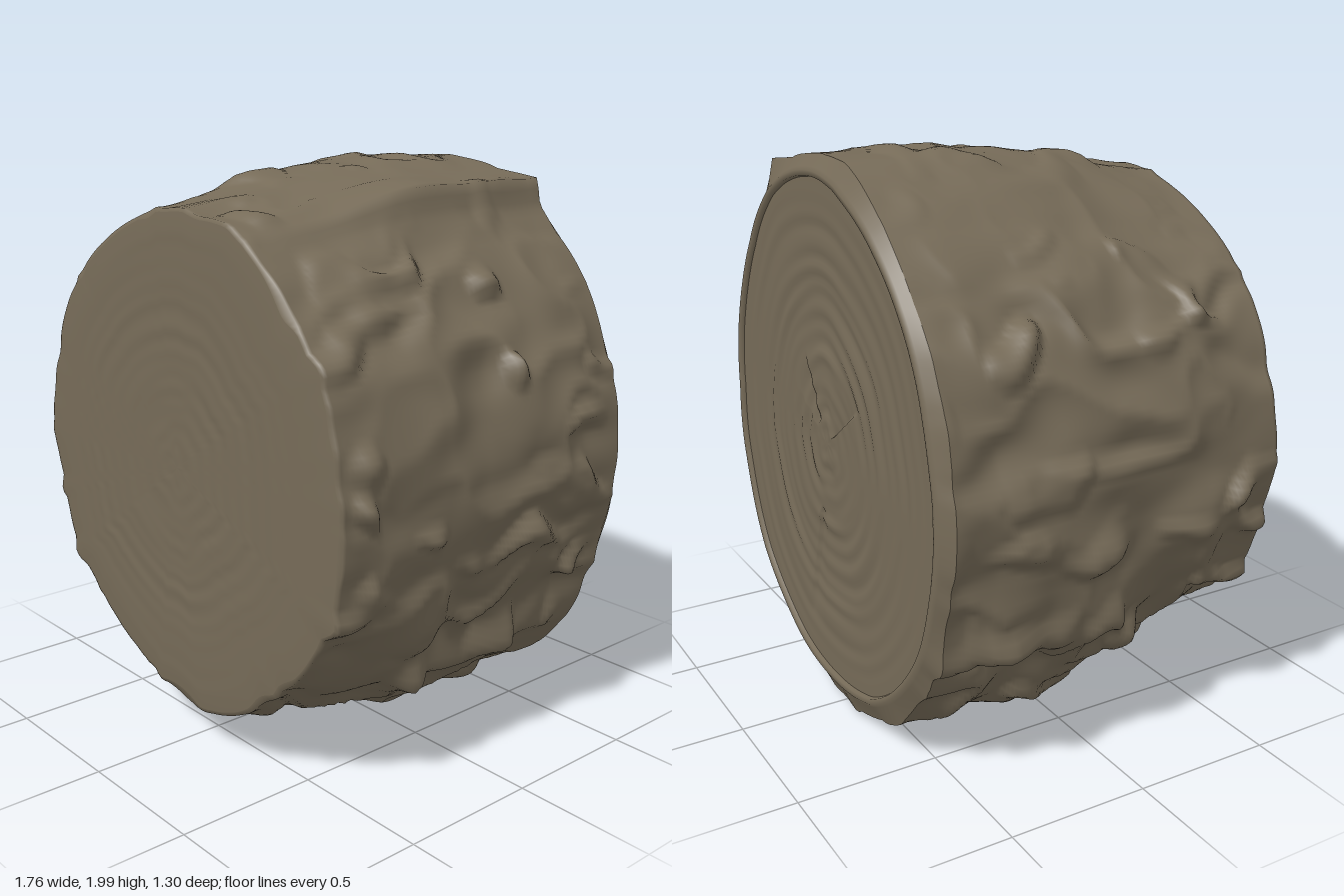
import * as THREE from 'three';

const SEG = 240, ZF = 0.64, ZB = -0.61;

// outlines as [angle in degrees, radius] around the axis at y = 1
const FRONT = [[0, .81], [22, .83], [45, .83], [58, .84], [70, .87], [80, .85], [90, .855], [105, .83], [120, .82], [135, .82],
  [157, .83], [180, .83], [195, .84], [210, .84], [225, .82], [240, .82], [252, .82], [270, .84], [290, .83], [315, .82],
  [338, .83], [360, .81]];
const BACK = [[0, .85], [22, .85], [45, .89], [54, .905], [61, .94], [64.5, 1.01], [75, .97], [90, .98], [100, .985],
  [110, .95], [120, .91], [135, .87], [157, .85], [180, .855], [200, .86], [212, .90], [225, .92], [243, .965],
  [258, .975], [270, .975], [290, .975], [303, .97], [315, .94], [325, .91], [340, .86], [360, .85]];
const LIP = [[0, .80], [22, .82], [45, .85], [64, .91], [80, .92], [100, .92], [120, .87], [135, .84], [157, .81],
  [180, .80], [200, .82], [225, .86], [250, .90], [270, .90], [290, .90], [315, .88], [338, .83], [360, .80]];

function radiusAt(table, a) {
  const deg = a * 180 / Math.PI;
  let i = 1;
  while (table[i][0] < deg) i++;
  const [a0, r0] = table[i - 1], [a1, r1] = table[i];
  return r0 + (r1 - r0) * (deg - a0) / (a1 - a0);
}

// seeded smooth 3D value noise in -1..1
function hash(x, y, z) {
  let h = Math.imul(x, 374761393) ^ Math.imul(y, 668265263) ^ Math.imul(z, 1274126177);
  h = Math.imul(h ^ (h >>> 13), 1103515245);
  return ((h ^ (h >>> 16)) >>> 0) / 2147483648 - 1;
}
function noise(x, y, z) {
  const ix = Math.floor(x), iy = Math.floor(y), iz = Math.floor(z);
  const s = t => t * t * (3 - 2 * t), u = s(x - ix), v = s(y - iy), w = s(z - iz);
  let sum = 0;
  for (let k = 0; k < 8; k++) {
    const a = k & 1, b = (k >> 1) & 1, c = k >> 2;
    sum += hash(ix + a, iy + b, iz + c) * (a ? u : 1 - u) * (b ? v : 1 - v) * (c ? w : 1 - w);
  }
  return sum;
}

// bark radius: flares from the sawn front, with lumps, creases and scattered knobs
function barkRadius(a, z0) {
  const x = Math.cos(a), y = Math.sin(a);
  const t = THREE.MathUtils.smoothstep(-z0, -ZF - 0.08, 0.16);
  const base = THREE.MathUtils.lerp(radiusAt(FRONT, a), radiusAt(BACK, a), t);
  // warp the noise so the bark looks torn rather than regular
  const wx = x + 0.09 * noise(x * 5 + 31, y * 5, z0 * 5);
  const wy = y + 0.09 * noise(x * 5, y * 5 + 57, z0 * 5);
  const z = z0 + 0.12 * noise(x * 4, y * 4, z0 * 4 + 73);
  const edge = Math.min(1, 0.6 + (ZF - z0) * 3, 0.35 + (z0 - ZB) * 4);
  const rough = 1 + 0.25 * THREE.MathUtils.smoothstep(-y, 0.2, 0.5) - 0.55 * THREE.MathUtils.smoothstep(y, 0.65, 0.9);
  const lumps = 0.028 * noise(wx * 3.6 + 9, wy * 3.6 + 5, z * 3 + 7);
  const creases = 0.05 * (0.28 - Math.abs(noise(wx * 5 + 20, wy * 5 + 3, z * 3.6 + 11)));
  const knobs = 0.085 * Math.max(0, noise(wx * 7.5 + 40, wy * 7.5 + 17, z * 6 + 2) - 0.3);
  const r = base + (lumps + creases + knobs) * edge * rough;
  // worn flat where it would reach past the widest points
  return Math.min(r, 1 / Math.abs(y), 0.88 / Math.abs(x));
}

// closed loops of points joined in order; each ring is a function angle -> [radius, z]
function loft(rings) {
  const pos = [], index = [];
  rings.forEach((ring, i) => {
    for (let j = 0; j < SEG; j++) {
      const a = j / SEG * Math.PI * 2, [r, z] = ring(a);
      pos.push(Math.cos(a) * r, 1 + Math.sin(a) * r, z);
      if (i === 0) continue;
      const n = (j + 1) % SEG, p = (i - 1) * SEG, q = i * SEG;
      index.push(p + j, q + j, p + n, p + n, q + j, q + n);
    }
  });
  const g = new THREE.BufferGeometry();
  g.setAttribute('position', new THREE.Float32BufferAttribute(pos, 3));
  g.setIndex(index);
  g.computeVertexNormals();
  return g;
}

// shallow growth rings, fading out at the centre and rim
function growth(a, k, seed, depth) {
  const x = Math.cos(a), y = Math.sin(a);
  const wob = 0.02 * noise(x * 2 + seed, y * 2, k * 3);
  const fade = Math.min(1, k * 8, (1 - k) * 3);
  return fade * depth * (0.4 * Math.sin((k + wob) * 70) + noise((k + wob) * 24, seed, x * 1.5 + 4));
}

// wedge-shaped cracks in the back face: [angle, half width, inner, outer]
const CRACKS = [[2.2, 0.3, 0.08, 0.4], [0.8, 0.25, 0.1, 0.38], [4.9, 0.08, 0.3, 0.85]];
function crack(a, k) {
  let d = 0;
  for (const [c, w, k0, k1] of CRACKS) {
    const off = (a - c) / w;
    if (Math.abs(off) < 1 && k > k0 && k < k1) d = 0.01 * (off + 1) / 2 * Math.min(1, (k1 - k) * 10);
  }
  return d;
}

export function createModel() {
  const model = new THREE.Group();
  const wood = new THREE.MeshStandardMaterial({ color: 0x766b58 });
  wood.name = 'weathered wood';
  const add = (name, rings) => {
    const mesh = new THREE.Mesh(loft(rings), wood);
    mesh.name = name;
    model.add(mesh);
  };
  const steps = n => Array.from({ length: n + 1 }, (_, i) => i / n);

  // front rim with small chips broken out of it
  const chip = a => 0.012 + 0.035 * Math.max(0, noise(Math.cos(a) * 6 + 3, Math.sin(a) * 6, 5.5));
  const rim = a => barkRadius(a, ZF) - chip(a);
  const lip = a => Math.min(radiusAt(LIP, a) + 0.012 * noise(Math.cos(a) * 4, Math.sin(a) * 4, 9.5), barkRadius(a, ZB) - 0.015);

  // sawn front face, slightly rounded at its rim
  add('frontFace', steps(60).map(k => a =>
    [k * rim(a), ZF + 0.008 + growth(a, k, 3, 0.0018) - 0.008 * k ** 12]));

  // bark, starting with a chipped chamfer
  add('bark', [a => [rim(a), ZF],
    ...steps(100).map(t => a => {
      const z = THREE.MathUtils.lerp(ZF - 0.3 * chip(a), ZB, t);
      return [barkRadius(a, z), z];
    })]);

  // bevelled rim behind the bark
  add('backRim', [a => [barkRadius(a, ZB), ZB], a => [lip(a) + 0.012, -0.64],
    a => [lip(a), -0.65], a => [lip(a) - 0.018, -0.648], a => [lip(a) - 0.022, -0.634]]);

  // sawn back face, set just inside the rim
  add('backFace', steps(60).reverse().map(k => a =>
    [k * (lip(a) - 0.022), -0.634 + growth(a, k, 8, 0.005) + crack(a, k)]));

  return model;
}
